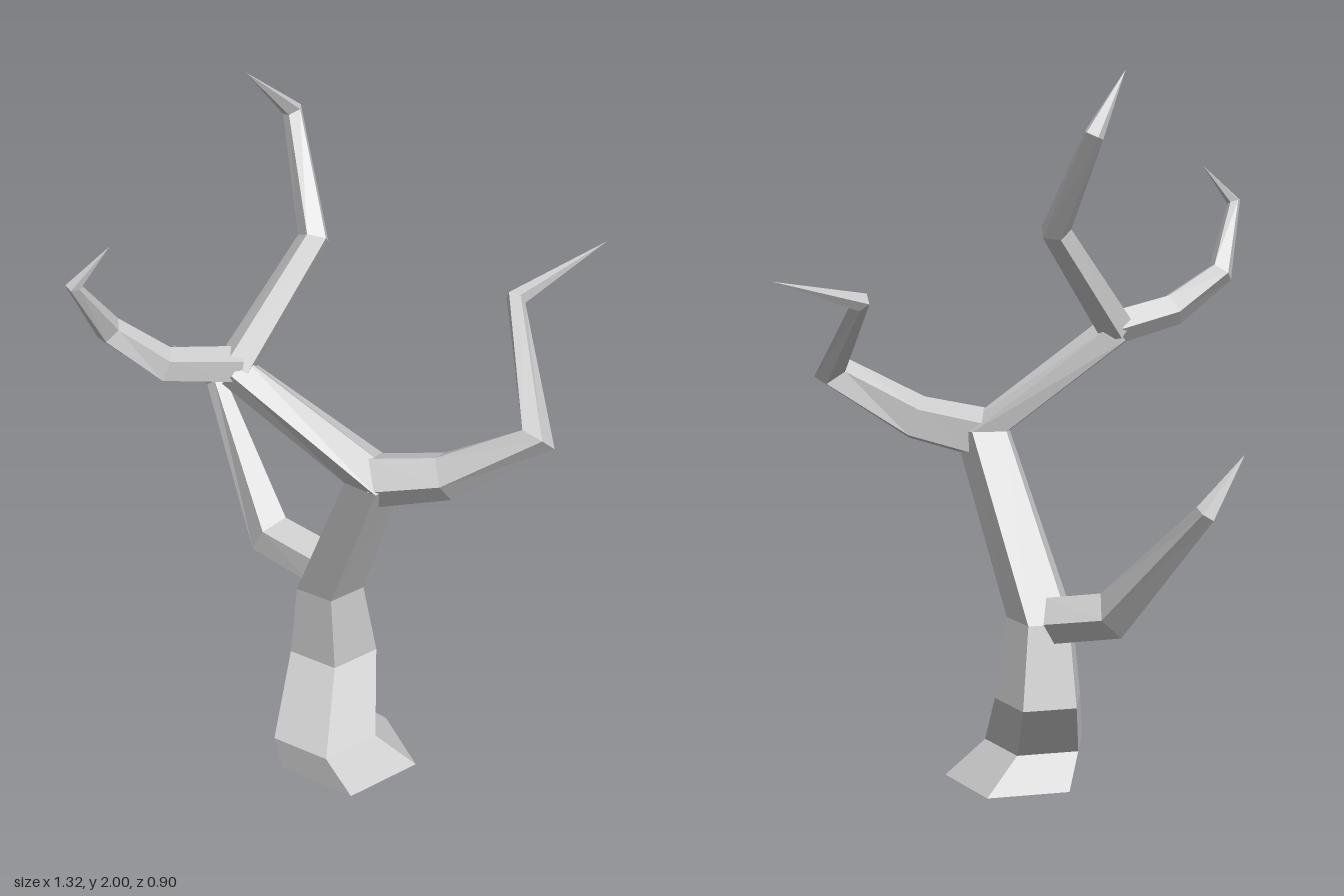
import * as THREE from 'three';

const SIDES = 5;
const material = new THREE.MeshStandardMaterial({ color: 0xcccccc, flatShading: true, side: THREE.DoubleSide });

// Faceted limb through rings [x, y, z, radius, optional ring normal]; radius 0 makes a pointed tip.
function limb(name, rings, reference, phase) {
  const centers = rings.map(([x, y, z]) => new THREE.Vector3(x, y, z));
  const last = rings.length - 1;
  const normals = rings.map((ring, i) => {
    if (ring[4]) return new THREE.Vector3(...ring[4]).normalize();
    const n = new THREE.Vector3();
    if (i > 0) n.add(centers[i].clone().sub(centers[i - 1]).normalize());
    if (i < last) n.add(centers[i + 1].clone().sub(centers[i]).normalize());
    return n.normalize();
  });

  // Carry the cross-section along the path without twisting
  const u = new THREE.Vector3(...reference).projectOnPlane(normals[0]).normalize();
  const loops = rings.map((ring, i) => {
    const n = normals[i];
    if (i > 0) u.applyQuaternion(new THREE.Quaternion().setFromUnitVectors(normals[i - 1], n));
    const v = new THREE.Vector3().crossVectors(n, u);
    return Array.from({ length: SIDES }, (_, j) => {
      const a = phase + (j / SIDES) * Math.PI * 2;
      return centers[i].clone()
        .addScaledVector(u, Math.cos(a) * ring[3])
        .addScaledVector(v, Math.sin(a) * ring[3]);
    });
  });

  const positions = [];
  const tri = (...corners) => corners.forEach((p) => positions.push(p.x, p.y, p.z));
  for (let j = 0; j < SIDES; j++) {
    const k = (j + 1) % SIDES;
    for (let i = 0; i < last; i++) {
      const a = loops[i], b = loops[i + 1];
      tri(a[j], a[k], b[k]);
      if (rings[i + 1][3] > 0) tri(a[j], b[k], b[j]);
    }
    // End caps
    tri(centers[0], loops[0][k], loops[0][j]);
    if (rings[last][3] > 0) tri(centers[last], loops[last][j], loops[last][k]);
  }
  const geometry = new THREE.BufferGeometry();
  geometry.setAttribute('position', new THREE.Float32BufferAttribute(positions, 3));
  geometry.computeVertexNormals();
  const mesh = new THREE.Mesh(geometry, material);
  mesh.name = name;
  return mesh;
}

export function createModel() {
  const tree = new THREE.Group();
  tree.name = 'bareTree';
  const up = [0, 1, 0];

  // Crooked trunk, bending over into the main bough
  tree.add(limb('trunk', [
    [0, 0, 0.13, 0.2, up],
    [-0.065, 0.1, 0.15, 0.15, up],
    [-0.06, 0.275, -0.02, 0.128, up],
    [-0.065, 0.5, 0.01, 0.098, up],
    [0.08, 0.985, 0.225, 0.083, [0, 0.97, 0.15]],
    [-0.29, 1.272, 0.205, 0.05, [-0.8, 0.6, 0]],
  ], [1, 0, 0], -0.16));

  const branches = {
    lowerBackBranch: [
      [-0.09, 0.515, -0.06, 0.068],
      [-0.25, 0.55, -0.145, 0.07],
      [-0.45, 0.89, -0.43, 0.03],
      [-0.56, 1.03, -0.36, 0],
    ],
    leftBranch: [
      [0.085, 0.975, 0.225, 0.076],
      [0.27, 1.017, 0.257, 0.067],
      [0.505, 1.155, 0.28, 0.053],
      [0.425, 1.393, -0.04, 0.028],
      [0.655, 1.477, -0.24, 0],
    ],
    rightBranch: [
      [-0.28, 1.28, 0.2, 0.05],
      [-0.455, 1.315, 0.285, 0.048],
      [-0.592, 1.415, 0.3, 0.038],
      [-0.648, 1.6, 0.428, 0.02],
      [-0.555, 1.705, 0.41, 0],
    ],
    topBranch: [
      [-0.285, 1.275, 0.2, 0.052],
      [-0.1, 1.57, 0.02, 0.043],
      [-0.18, 1.84, -0.18, 0.028],
      [-0.28, 2, -0.03, 0],
    ],
  };
  for (const [name, rings] of Object.entries(branches)) tree.add(limb(name, rings, up, 0.3));
  return tree;
}
